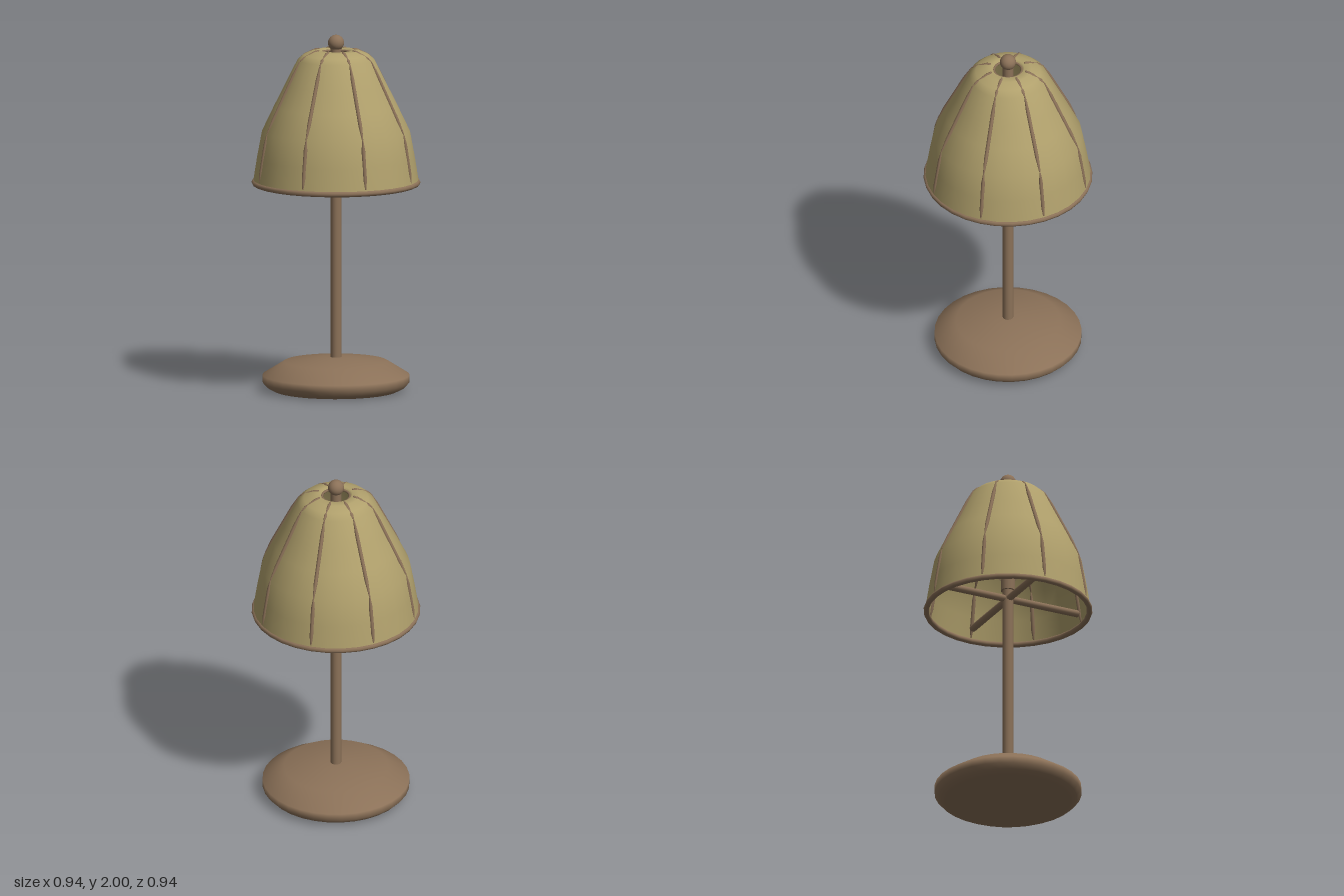
import * as THREE from 'three';

const bronze = new THREE.MeshStandardMaterial({ color: 0x8b7158 });
bronze.name = 'bronze';
const fabric = new THREE.MeshStandardMaterial({ color: 0xb0a06c, side: THREE.DoubleSide });
fabric.name = 'shadeFabric';
const glass = new THREE.MeshStandardMaterial({ color: 0xdcbf90 });
glass.name = 'bulbGlass';

const points = (list) => list.map(([r, y]) => new THREE.Vector2(r, y));

export function createModel() {
  const lamp = new THREE.Group();
  lamp.name = 'tableLamp';
  const add = (name, geometry, material, parent = lamp) => {
    const mesh = new THREE.Mesh(geometry, material);
    mesh.name = name;
    parent.add(mesh);
    return mesh;
  };

  // Heavy rounded foot
  add('base', new THREE.LatheGeometry(points([
    [0, 0], [0.35, 0], [0.385, 0.018], [0.41, 0.045], [0.41, 0.085],
    [0.29, 0.16], [0.08, 0.185], [0, 0.185],
  ]), 32), bronze);

  // Stem runs through the lamp up to the finial
  add('stem', new THREE.CylinderGeometry(0.03, 0.03, 1.76, 16).translate(0, 1.05, 0), bronze);
  add('finial', new THREE.SphereGeometry(0.045, 20, 14).translate(0, 1.955, 0), bronze);

  // Socket and bulb
  add('socket', new THREE.CylinderGeometry(0.04, 0.04, 0.07, 16).translate(0, 1.325, 0), bronze);
  add('bulb', new THREE.SphereGeometry(0.072, 20, 14).translate(0, 1.415, 0), glass);

  // Open bell shade
  add('shade', new THREE.LatheGeometry(points([
    [0.462, 1.17], [0.44, 1.31], [0.412, 1.46], [0.345, 1.6], [0.285, 1.72],
    [0.215, 1.86], [0.18, 1.89], [0.13, 1.911], [0.09, 1.915], [0.08, 1.9],
  ]), 32), fabric);
  add('bottomRing', new THREE.TorusGeometry(0.455, 0.016, 8, 32)
    .rotateX(Math.PI / 2).translate(0, 1.17, 0), bronze);
  add('topRing', new THREE.TorusGeometry(0.078, 0.007, 6, 32)
    .rotateX(Math.PI / 2).translate(0, 1.9, 0), bronze);

  // Eight ribs, each made of three tapered rods following the shade
  const ribPath = [[0.1, 1.918], [0.214, 1.862], [0.412, 1.462], [0.457, 1.19]];
  for (let i = 0; i < 8; i++) {
    const rib = new THREE.Group();
    rib.name = 'rib';
    rib.rotation.y = (i * Math.PI) / 4;
    for (let k = 0; k < 3; k++) {
      const [r0, y0] = ribPath[k], [r1, y1] = ribPath[k + 1];
      const length = Math.hypot(r1 - r0, y1 - y0);
      const rod = add('ribRod', new THREE.LatheGeometry(points([
        [0, 0], [0.004, 0.002], [0.011, length * 0.2],
        [0.011, length * 0.8], [0.004, length - 0.002], [0, length],
      ]), 8), bronze, rib);
      rod.position.set(r0, y0, 0);
      rod.rotation.z = Math.atan2(r0 - r1, y1 - y0);
    }
    lamp.add(rib);
  }

  // Crossed bars carrying the shade
  for (const turn of [0, Math.PI / 2]) {
    add('supportBar', new THREE.CylinderGeometry(0.02, 0.02, 0.87, 10)
      .rotateZ(Math.PI / 2).rotateY(turn).translate(0, 1.24, 0), bronze);
  }
  return lamp;
}
